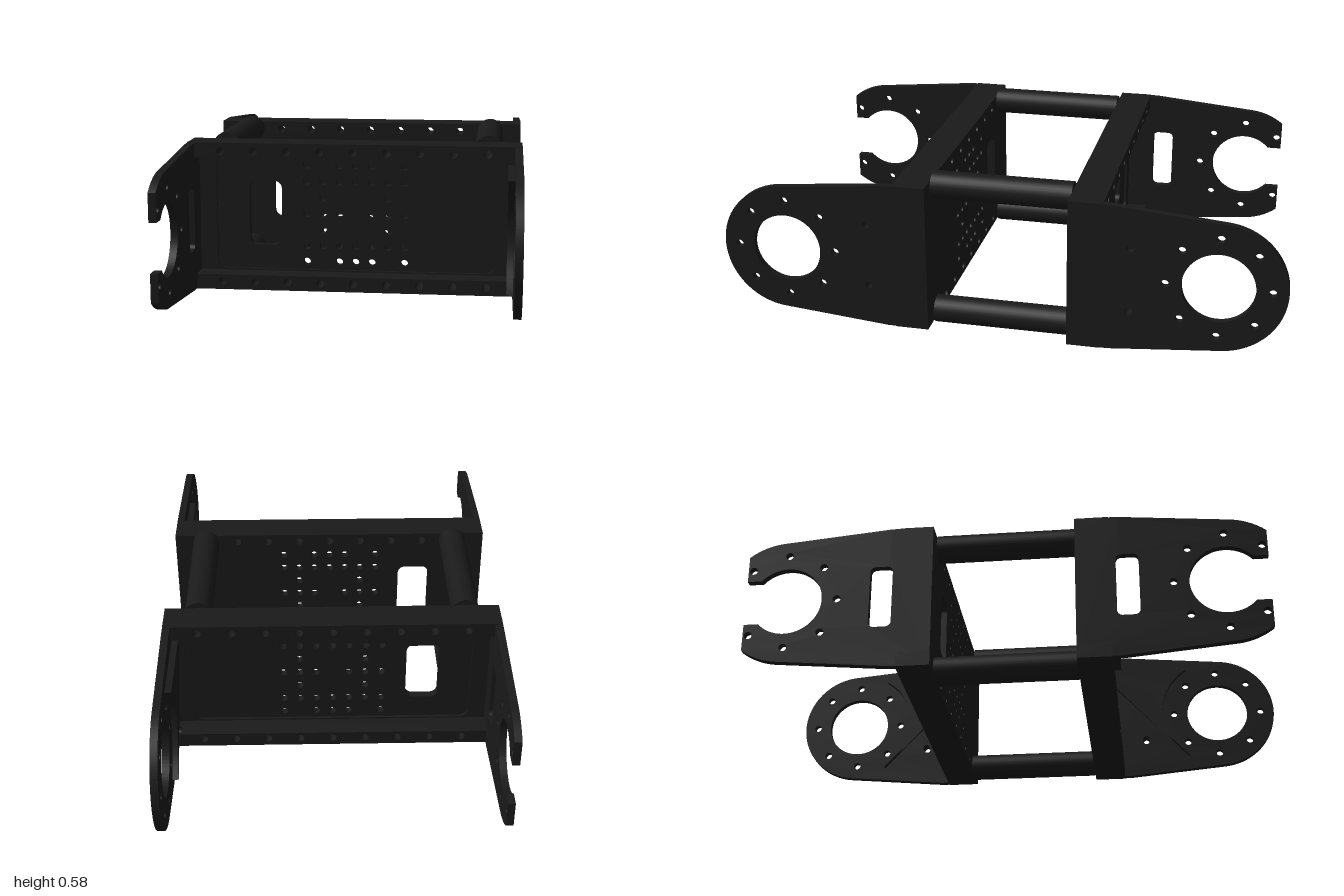
import * as THREE from 'three';

const MID = 0.2925;   // height of the centre line
const EYE = 0.766;    // z of the joint eye centre
const black = new THREE.MeshStandardMaterial({ color: 0x1a1a1a });

function circle(x, y, r) {
  const p = new THREE.Path();
  p.absarc(x, y, r, 0, Math.PI * 2, true);
  return p;
}

function roundRect(x0, y0, x1, y1, r, Type = THREE.Path) {
  const p = new Type();
  p.absarc(x1 - r, y1 - r, r, 0, Math.PI / 2);
  p.absarc(x0 + r, y1 - r, r, Math.PI / 2, Math.PI);
  p.absarc(x0 + r, y0 + r, r, Math.PI, Math.PI * 1.5);
  p.absarc(x1 - r, y0 + r, r, Math.PI * 1.5, Math.PI * 2);
  p.closePath();
  return p;
}

function rect(x0, y0, x1, y1) {
  return new THREE.Shape([[x0, y0], [x1, y0], [x1, y1], [x0, y1]].map(([x, y]) => new THREE.Vector2(x, y)));
}

function extrude(shape, depth, curveSegments = 12) {
  return new THREE.ExtrudeGeometry(shape, { depth, bevelEnabled: false, curveSegments });
}

function add(group, name, geometry) {
  const mesh = new THREE.Mesh(geometry, black);
  mesh.name = name;
  group.add(mesh);
}

// Slab facing z, between z0 and z1 on the front (s = 1) or back (s = -1) bracket
function slabZ(shape, z0, z1, s) {
  return extrude(shape, z1 - z0).translate(0, 0, s > 0 ? z0 : -z1);
}

// Slab facing x: the shape is drawn as (distance outward, height)
function slabX(shape, x0, x1, s) {
  const g = extrude(shape, x1 - x0, 32).rotateY(-s * Math.PI / 2);
  return g.translate(s > 0 ? x1 : x0, 0, 0);
}

// Bolt circle round an eye, optionally without the outermost hole
function boltHoles(first) {
  const holes = [];
  for (let i = first; i < 8; i++) {
    const a = i * Math.PI / 4;
    holes.push(circle(EYE + 0.18 * Math.cos(a), MID + 0.18 * Math.sin(a), 0.014));
  }
  return holes;
}

// Tapered arm ending in a closed round eye
function eyeArm() {
  const s = new THREE.Shape();
  s.moveTo(0.25, 0.022);
  s.lineTo(0.40, 0.024);
  s.absarc(EYE, MID, 0.234, -1.48, 1.48);
  s.lineTo(0.40, 0.561);
  s.lineTo(0.25, 0.563);
  s.closePath();
  s.holes.push(circle(EYE, MID, 0.125), ...boltHoles(0));
  s.holes.push(circle(0.465, 0.41, 0.013), circle(0.465, 0.175, 0.013));
  return s;
}

// Tapered arm ending in an open hook
function hookArm() {
  const tip = 0.912, gap = 0.085, R = 0.234, r = 0.127;
  const a = Math.acos((tip - EYE) / R), b = Math.asin(gap / r);
  const s = new THREE.Shape();
  s.moveTo(0.25, 0.022);
  s.lineTo(0.40, 0.024);
  s.absarc(EYE, MID, R, -1.48, -a);
  s.lineTo(tip, MID - gap);
  s.absarc(EYE, MID, r, -b, b - Math.PI * 2, true);
  s.lineTo(tip, MID + gap);
  s.absarc(EYE, MID, R, a, 1.48);
  s.lineTo(0.40, 0.561);
  s.lineTo(0.25, 0.563);
  s.closePath();
  s.holes.push(roundRect(0.39, 0.175, 0.47, 0.41, 0.02), ...boltHoles(1));
  return s;
}

// Stiffening pad behind the eye, cut back around it
function eyePad() {
  const h = 0.195, r = 0.23, a = Math.asin(h / r);
  const s = new THREE.Shape();
  s.moveTo(0.28, MID - h);
  s.absarc(EYE, MID, r, Math.PI + a, Math.PI - a, true);
  s.lineTo(0.28, MID + h);
  s.closePath();
  s.holes.push(circle(0.465, 0.41, 0.013), circle(0.465, 0.175, 0.013));
  return s;
}

// Web panel with window and mirrored mounting-hole grid
function webPanel() {
  const s = rect(-0.575, 0.075, 0.575, 0.51);
  const rows = [[0, 0.06, 0.18], [0, 0.06, 0.12, 0.18], [0.12]];
  const drill = (x, y) => s.holes.push(circle(x, y, 0.0135));
  rows.forEach((xs, i) => {
    for (const side of [-1, 1]) {
      const y = MID + side * (0.18 - 0.06 * i);
      for (const x of xs) {
        drill(x, y);
        if (x) drill(-x, y);
      }
    }
  });
  for (const x of [-0.18, -0.12, -0.06, 0.06, 0.12, 0.18]) drill(x, MID);
  s.holes.push(roundRect(-0.392, 0.172, -0.272, 0.412, 0.028));
  return s;
}

// Edge rail drilled along its length
function rail(y0, y1, holeY) {
  const s = rect(-0.6, y0, 0.6, y1);
  for (let i = -4; i <= 4; i++) s.holes.push(circle(i * 0.12, holeY, 0.0145));
  return s;
}

function bracket(s) {
  const g = new THREE.Group();
  g.name = s > 0 ? 'frontBracket' : 'backBracket';
  add(g, 'webPanel', slabZ(webPanel(), 0.25, 0.28, s));
  const frame = rect(-0.575, 0.075, 0.575, 0.51);
  frame.holes.push(roundRect(-0.512, 0.083, 0.512, 0.502, 0.035));
  add(g, 'webFrame', slabZ(frame, 0.28, 0.29, s));
  add(g, 'topRail', slabZ(rail(0.508, 0.563, 0.533), 0.25, 0.37, s));
  add(g, 'bottomRail', slabZ(rail(0.022, 0.077, 0.052), 0.25, 0.37, s));
  add(g, 'eyeArm', slabX(eyeArm(), 0.574, 0.6, s));
  add(g, 'eyePad', slabX(eyePad(), 0.551, 0.574, s));
  add(g, 'hookArm', slabX(hookArm(), -0.6, -0.574, s));
  return g;
}

export function createModel() {
  const model = new THREE.Group();
  model.name = 'bracketFrame';
  model.add(bracket(1), bracket(-1));

  // Hollow spacer posts joining the two brackets
  const profile = [[0.0145, -0.25], [0.05, -0.25], [0.05, 0.25], [0.0145, 0.25], [0.0145, -0.25]];
  // Doubled corners keep the post rims sharp
  const points = profile.flatMap(([r, y]) => [new THREE.Vector2(r, y), new THREE.Vector2(r, y)]);
  for (const x of [-0.48, 0.48]) {
    for (const y of [0.05, 0.535]) {
      const post = new THREE.LatheGeometry(points, 32).rotateX(Math.PI / 2);
      add(model, 'spacerPost', post.translate(x, y, 0));
    }
  }
  return model;
}
